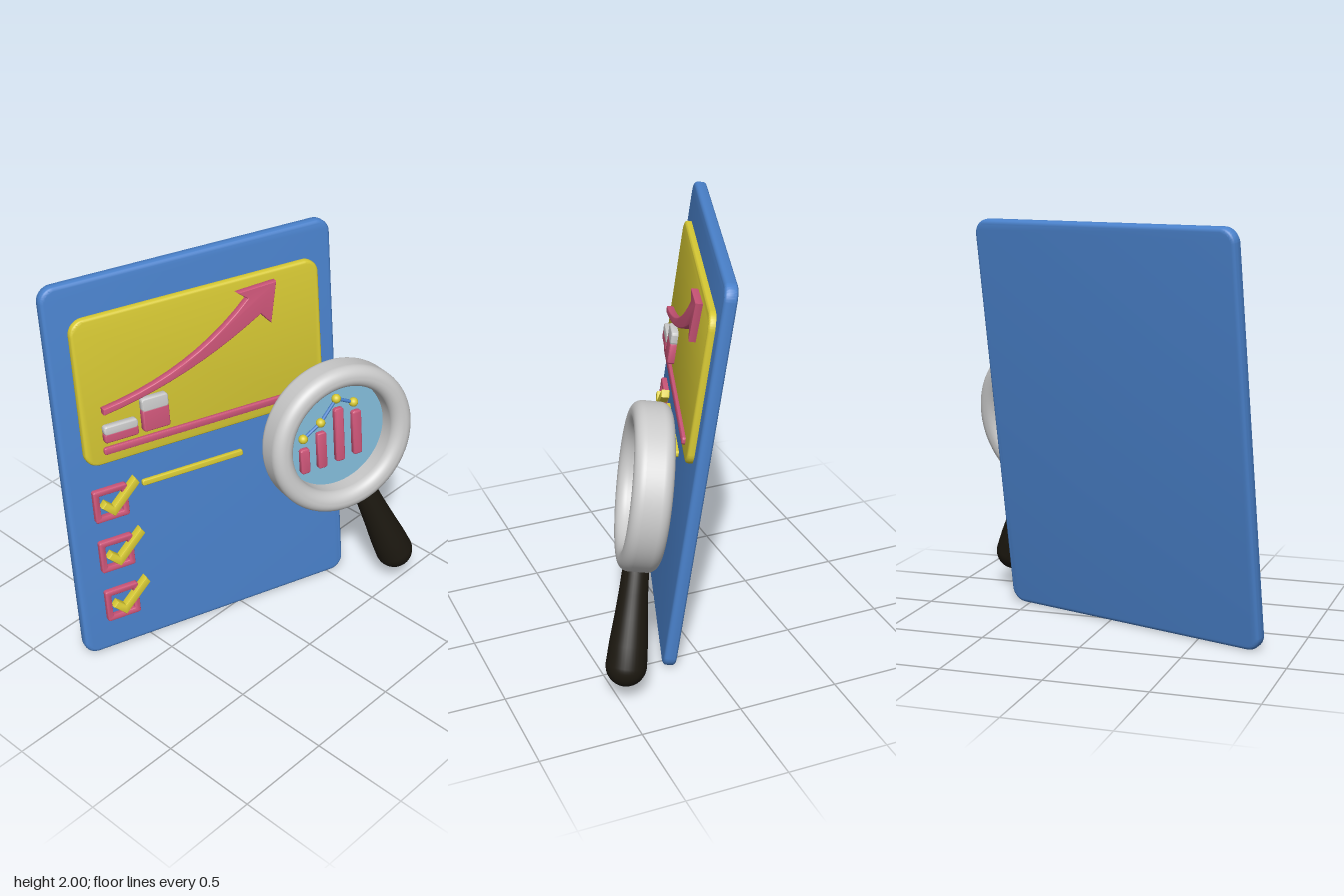
import * as THREE from 'three';
import { toCreasedNormals } from 'three/addons/utils/BufferGeometryUtils.js';

const mat = (color, extra = {}) => new THREE.MeshStandardMaterial({ color, ...extra });
const blue = mat(0x4a82cc), yellow = mat(0xd8ca34), pink = mat(0xcc5578);
const grey = mat(0xcccccc), black = mat(0x1c1810), glassBlue = mat(0x80b8d6);

function add(parent, name, geometry, material, x = 0, y = 0, z = 0) {
  const mesh = new THREE.Mesh(geometry, material);
  mesh.name = name;
  mesh.position.set(x, y, z);
  parent.add(mesh);
  return mesh;
}

// Rounded rectangle outline from its left, bottom, right and top
function roundRect(l, b, r, t, rad) {
  const s = new THREE.Shape();
  s.absarc(r - rad, t - rad, rad, 0, Math.PI / 2);
  s.absarc(l + rad, t - rad, rad, Math.PI / 2, Math.PI);
  s.absarc(l + rad, b + rad, rad, Math.PI, Math.PI * 1.5);
  s.absarc(r - rad, b + rad, rad, Math.PI * 1.5, Math.PI * 2);
  s.closePath();
  return s;
}

// Soft-edged plate between two depths
function plate(shape, z0, z1, bevel) {
  const g = new THREE.ExtrudeGeometry(shape, {
    depth: z1 - z0 - 2 * bevel, bevelEnabled: true, bevelThickness: bevel,
    bevelSize: bevel, bevelOffset: -bevel, bevelSegments: 4, curveSegments: 10,
  });
  g.translate(0, 0, z0 + bevel);
  return toCreasedNormals(g, 0.6);
}

const polygon = (pts) => new THREE.Shape(pts.map(([x, y]) => new THREE.Vector2(x, y)));

function buildChart(report) {
  add(report, 'chartPanel', plate(roundRect(-0.645, 0.063, 0.665, 0.83, 0.075), 0.02, 0.065, 0.015), yellow);

  // Curved growth arrow
  const arrow = new THREE.Shape();
  arrow.moveTo(-0.538, 0.339);
  arrow.quadraticCurveTo(-0.09, 0.399, 0.319, 0.635);
  arrow.lineTo(0.373, 0.574);
  arrow.lineTo(0.413, 0.783);
  arrow.lineTo(0.202, 0.773);
  arrow.lineTo(0.254, 0.731);
  arrow.quadraticCurveTo(-0.06, 0.435, -0.539, 0.372);
  add(report, 'growthArrow', plate(arrow, 0.06, 0.1, 0.006), pink);

  // Two-tone bars: left, right, split height, top
  for (const [l, r, split, top] of [[-0.546, -0.37, 0.235, 0.277], [-0.343, -0.203, 0.3, 0.365]]) {
    add(report, 'barLower', plate(roundRect(l, 0.19, r, split + 0.005, 0.012), 0.06, 0.1, 0.008), pink);
    add(report, 'barUpper', plate(roundRect(l, split - 0.005, r, top, 0.016), 0.06, 0.1, 0.008), grey);
  }
  add(report, 'chartBaseline', plate(roundRect(-0.55, 0.12, 0.54, 0.157, 0.012), 0.06, 0.082, 0.006), pink);
}

function buildChecklist(report) {
  const frame = roundRect(-0.09, -0.088, 0.09, 0.088, 0.012);
  frame.holes.push(roundRect(-0.06, -0.058, 0.06, 0.058, 0.004));
  const frameGeometry = plate(frame, 0.025, 0.06, 0.006);
  const tick = polygon([[-0.06, 0.0], [0.005, -0.062], [0.15, 0.08], [0.13, 0.115], [0.005, -0.008], [-0.035, 0.028]]);
  const tickGeometry = plate(tick, 0.035, 0.08, 0.006);
  for (const y of [-0.163, -0.452, -0.741]) {
    add(report, 'checkboxFrame', frameGeometry, pink, -0.537, y);
    add(report, 'checkMark', tickGeometry, yellow, -0.537, y);
  }
  add(report, 'textLine', plate(roundRect(-0.36, -0.128, 0.195, -0.096, 0.01), 0.02, 0.05, 0.006), yellow);
}

function buildMagnifier() {
  const magnifier = new THREE.Group();
  magnifier.name = 'magnifier';

  // Rim: rounded section spun around the lens axis
  const section = roundRect(0.288, -0.093, 0.4, 0.093, 0.052).getPoints(8);
  const rim = new THREE.LatheGeometry(section, 72).rotateX(Math.PI / 2);
  add(magnifier, 'rim', rim, grey);
  add(magnifier, 'lens', new THREE.CylinderGeometry(0.3, 0.3, 0.025, 64).rotateX(Math.PI / 2), glassBlue, 0, 0, -0.045);

  // Handle: flares to a rounded end
  const profile = [[0, 0.35], [0.058, 0.35], [0.064, 0.41], [0.069, 0.5], [0.079, 0.62], [0.092, 0.75]]
    .map(([x, y]) => new THREE.Vector2(x, y));
  for (let i = 0; i <= 12; i++) {
    const a = (i / 12) * Math.PI / 2;
    profile.push(new THREE.Vector2(Math.max(0, 0.098 * Math.cos(a)), 0.85 + 0.1 * Math.sin(a)));
  }
  const handle = add(magnifier, 'handle', toCreasedNormals(new THREE.LatheGeometry(profile, 36), 0.8), black);
  handle.rotation.z = THREE.MathUtils.degToRad(-158);

  // Bars on the lens: centre, bottom, top
  const bars = [[-0.183, -0.168, -0.029], [-0.084, -0.166, 0.036], [0.02, -0.157, 0.143], [0.122, -0.147, 0.099]];
  for (const [x, b, t] of bars)
    add(magnifier, 'lensBar', plate(roundRect(x - 0.026, b, x + 0.026, t, 0.014), -0.035, -0.005, 0.007), pink);

  // Trend line with dots
  const dots = [[-0.19, 0.03], [-0.087, 0.092], [0.008, 0.2], [0.106, 0.152]]
    .map(([x, y]) => new THREE.Vector3(x, y, -0.012));
  dots.forEach((p, i) => {
    add(magnifier, 'trendDot', new THREE.SphereGeometry(0.024, 20, 14), yellow, p.x, p.y, p.z);
    if (i === 0) return;
    const link = new THREE.LineCurve3(dots[i - 1], p);
    add(magnifier, 'trendLine', new THREE.TubeGeometry(link, 1, 0.009, 10), blue);
  });
  return magnifier;
}

export function createModel() {
  const model = new THREE.Group();
  model.name = 'reportWithMagnifier';

  // Everything shares the leaning, turned frame of the board
  const report = new THREE.Group();
  report.name = 'report';
  report.position.set(-0.08, 1, -0.175);
  report.rotation.set(THREE.MathUtils.degToRad(-7.8), THREE.MathUtils.degToRad(-18.5), 0, 'YXZ');
  model.add(report);

  add(report, 'board', plate(roundRect(-0.757, -1.007, 0.757, 1.007, 0.075), -0.032, 0.032, 0.02), blue);
  buildChart(report);
  buildChecklist(report);

  const magnifier = buildMagnifier();
  magnifier.position.set(0.634, -0.064, 0.24);
  report.add(magnifier);
  return model;
}
